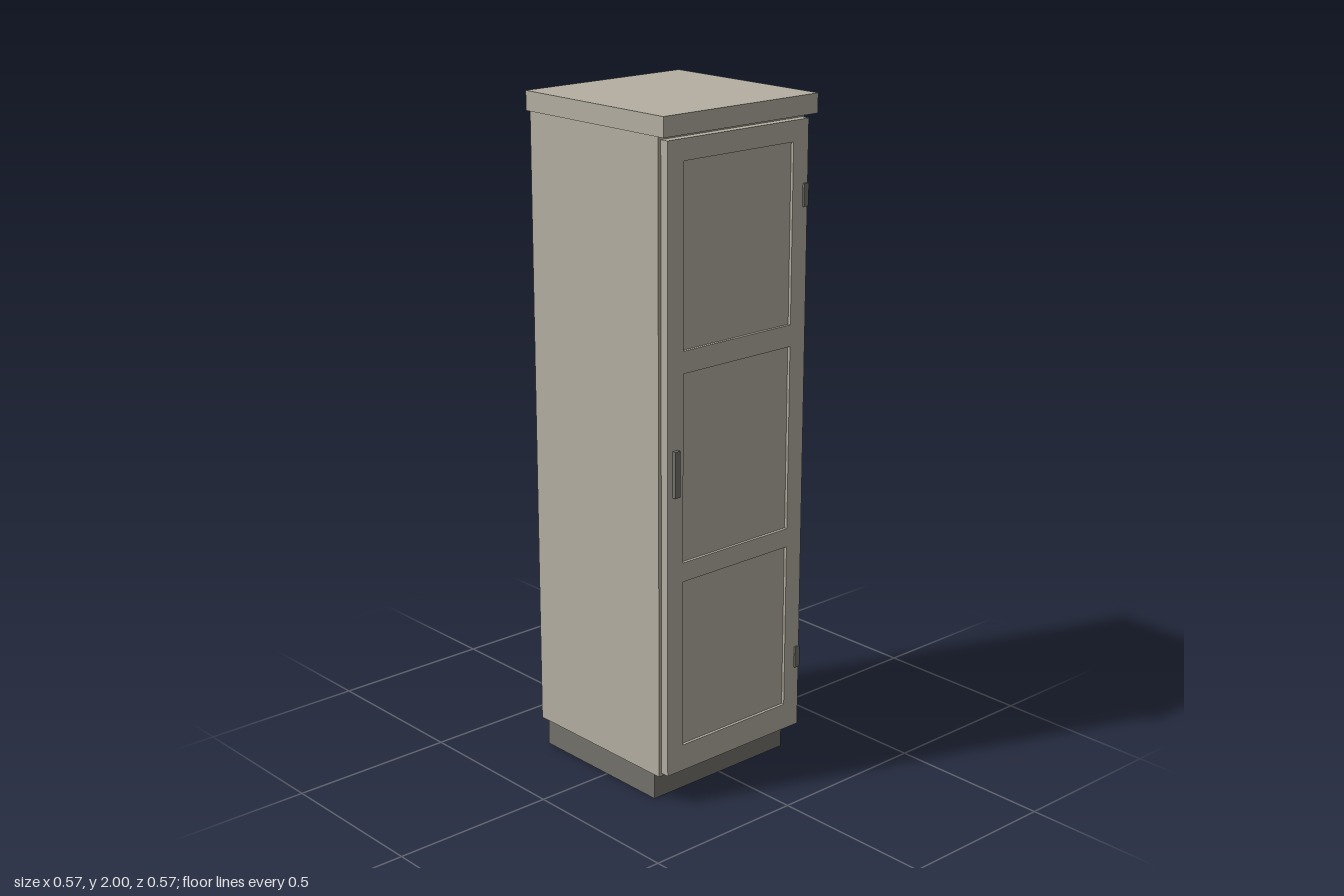
import * as THREE from 'three';

export function createModel() {
  const paint = new THREE.MeshStandardMaterial({ color: 0xb4afa1 });
  paint.name = 'greige paint';
  const dark = new THREE.MeshStandardMaterial({ color: 0x73716a, side: THREE.DoubleSide });
  dark.name = 'dark grey';

  const cabinet = new THREE.Group();
  cabinet.name = 'cabinet';

  function add(name, geometry, material) {
    const mesh = new THREE.Mesh(geometry, material);
    mesh.name = name;
    cabinet.add(mesh);
    return mesh;
  }

  // Box given by its minimum and maximum on each axis
  function box(name, material, [x0, x1], [y0, y1], [z0, z1]) {
    const mesh = add(name, new THREE.BoxGeometry(x1 - x0, y1 - y0, z1 - z0), material);
    mesh.position.set((x0 + x1) / 2, (y0 + y1) / 2, (z0 + z1) / 2);
    return mesh;
  }

  // Rectangle traced into a shape or a hole
  function rectangle(path, x0, x1, y0, y1) {
    path.moveTo(x0, y0);
    path.lineTo(x1, y0);
    path.lineTo(x1, y1);
    path.lineTo(x0, y1);
    path.closePath();
    return path;
  }

  // Carcass and overhanging top
  box('carcass', paint, [-0.272, 0.272], [0.088, 1.944], [-0.286, 0.249]);
  box('topBoard', paint, [-0.286, 0.286], [1.944, 2], [-0.286, 0.286]);

  // Plinth: four walls, open underneath so the carcass floor shows
  const plinth = box('plinth', dark, [-0.257, 0.257], [0, 0.088], [-0.274, 0.212]);
  const index = Array.from(plinth.geometry.index.array);
  index.splice(12, 12);
  plinth.geometry.setIndex(index);
  plinth.geometry.clearGroups();

  // Door: back slab with a frame around three recessed panels
  box('doorPanels', paint, [-0.262, 0.262], [0.097, 1.932], [0.249, 0.266]);
  const frame = rectangle(new THREE.Shape(), -0.262, 0.262, 0.097, 1.932);
  for (const [y0, y1] of [[0.177, 0.681], [0.738, 1.288], [1.352, 1.872]]) {
    frame.holes.push(rectangle(new THREE.Path(), -0.204, 0.204, y0, y1));
  }
  const frameGeometry = new THREE.ExtrudeGeometry(frame, { depth: 0.009, bevelEnabled: false });
  add('doorFrame', frameGeometry, paint).position.z = 0.266;

  // Handle and hinges
  box('handle', dark, [-0.243, -0.225], [0.94, 1.075], [0.275, 0.286]);
  for (const y of [0.32, 1.719]) {
    box('hinge', dark, [0.243, 0.261], [y - 0.033, y + 0.033], [0.275, 0.281]);
  }

  return cabinet;
}
